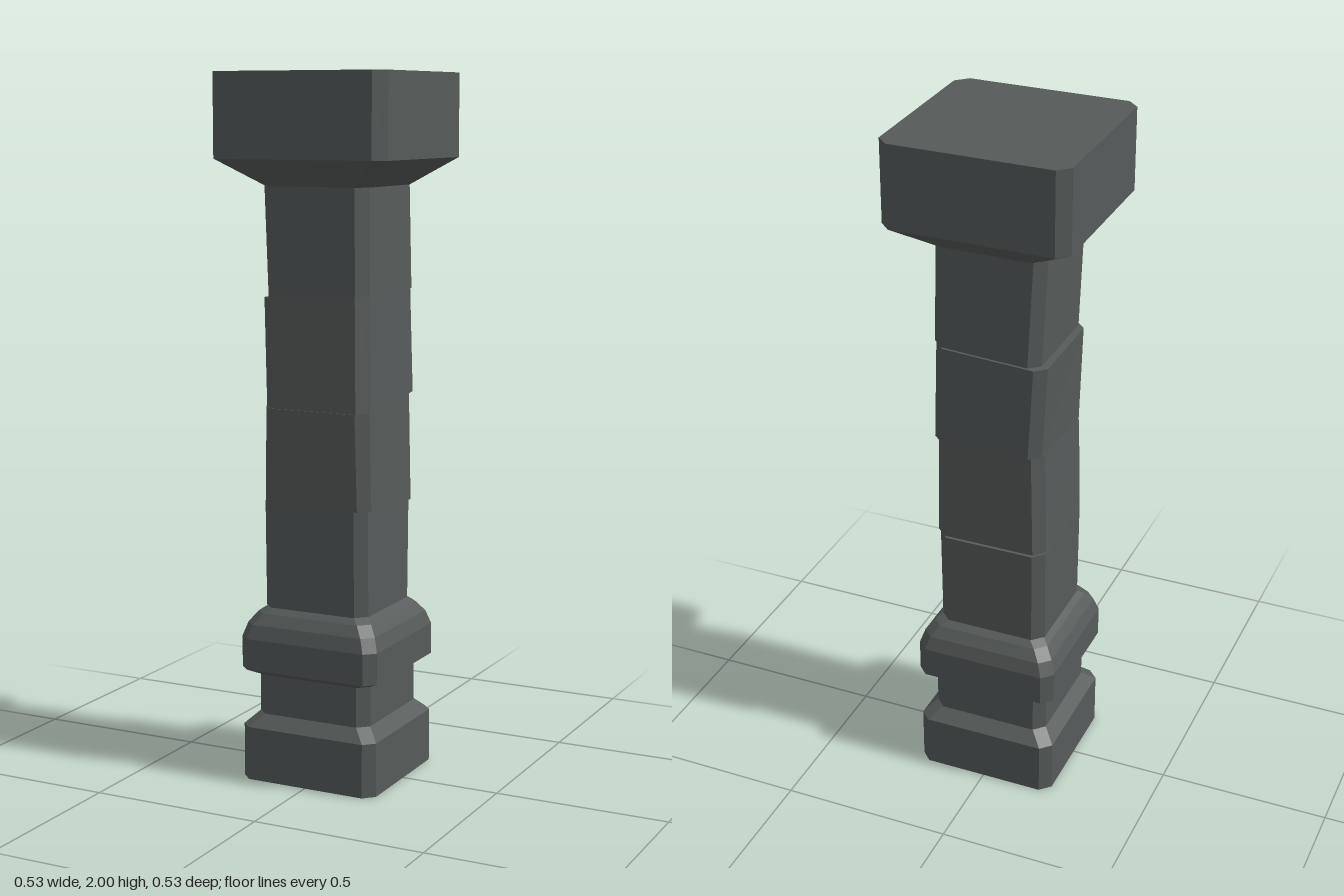
import * as THREE from 'three';

// Chamfered-square ring: bounds in x and z, corner cut c, optional tilt of the plane
function ring({ y, x0, x1, z0, z1, c = 0.03, tx = 0, tz = 0 }) {
  return [
    [x0 + c, z1], [x1 - c, z1], [x1, z1 - c], [x1, z0 + c],
    [x1 - c, z0], [x0 + c, z0], [x0, z0 + c], [x0, z1 - c],
  ].map(([x, z]) => [x, y + tx * x + tz * z, z]);
}

const square = (y, h, c = 0.03) => ring({ y, x0: -h, x1: h, z0: -h, z1: h, c });

// Faceted solid through a stack of rings, capped at both ends
function loft(rings) {
  const pos = [];
  const n = rings[0].length;
  for (let r = 0; r < rings.length - 1; r++) {
    const a = rings[r], b = rings[r + 1];
    for (let i = 0; i < n; i++) {
      const j = (i + 1) % n;
      pos.push(...a[i], ...a[j], ...b[j], ...a[i], ...b[j], ...b[i]);
    }
  }
  const bottom = rings[0], top = rings[rings.length - 1];
  for (let i = 1; i < n - 1; i++) {
    pos.push(...bottom[0], ...bottom[i + 1], ...bottom[i]);
    pos.push(...top[0], ...top[i], ...top[i + 1]);
  }
  const geometry = new THREE.BufferGeometry();
  geometry.setAttribute('position', new THREE.Float32BufferAttribute(pos, 3));
  geometry.computeVertexNormals();
  return geometry;
}

export function createModel() {
  const group = new THREE.Group();
  group.name = 'stonePillar';
  const stone = new THREE.MeshStandardMaterial({ color: 0x565b5a });
  stone.name = 'dark stone';

  const add = (name, rings) => {
    const mesh = new THREE.Mesh(loft(rings), stone);
    mesh.name = name;
    group.add(mesh);
  };

  // Plinth with a bevelled top and recessed neck
  add('plinth', [square(0, 0.21), square(0.155, 0.21), square(0.19, 0.175), square(0.305, 0.175)]);

  // Rounded moulding under the shaft
  add('baseMoulding', [
    square(0.305, 0.175), square(0.325, 0.213), square(0.415, 0.213),
    square(0.455, 0.2), square(0.485, 0.178), square(0.5, 0.158),
  ]);

  // Shaft of four worn blocks, slightly shifted at tilted joints
  const joints = [
    { y: 0.5 }, { y: 0.795, tz: 0.035 }, { y: 1.09, tz: -0.09 },
    { y: 1.39, tx: 0.055 }, { y: 1.69 },
  ];
  // Bounds [x0, x1, z0, z1] at the bottom and top of each block
  const blocks = [
    [[-0.162, 0.16, -0.159, 0.159], [-0.164, 0.159, -0.166, 0.161]],
    [[-0.163, 0.17, -0.157, 0.162], [-0.153, 0.167, -0.148, 0.172]],
    [[-0.152, 0.169, -0.169, 0.17], [-0.168, 0.158, -0.172, 0.153]],
    [[-0.148, 0.165, -0.165, 0.165], [-0.162, 0.16, -0.16, 0.16]],
  ];
  blocks.forEach((ends, i) => {
    add(`shaftBlock${i + 1}`, ends.map(([x0, x1, z0, z1], k) =>
      ring({ ...joints[i + k], x0, x1, z0, z1 })));
  });

  // Flared capital with a square slab
  add('capital', [square(1.69, 0.16), square(1.765, 0.265, 0.033), square(2, 0.265, 0.033)]);

  return group;
}
